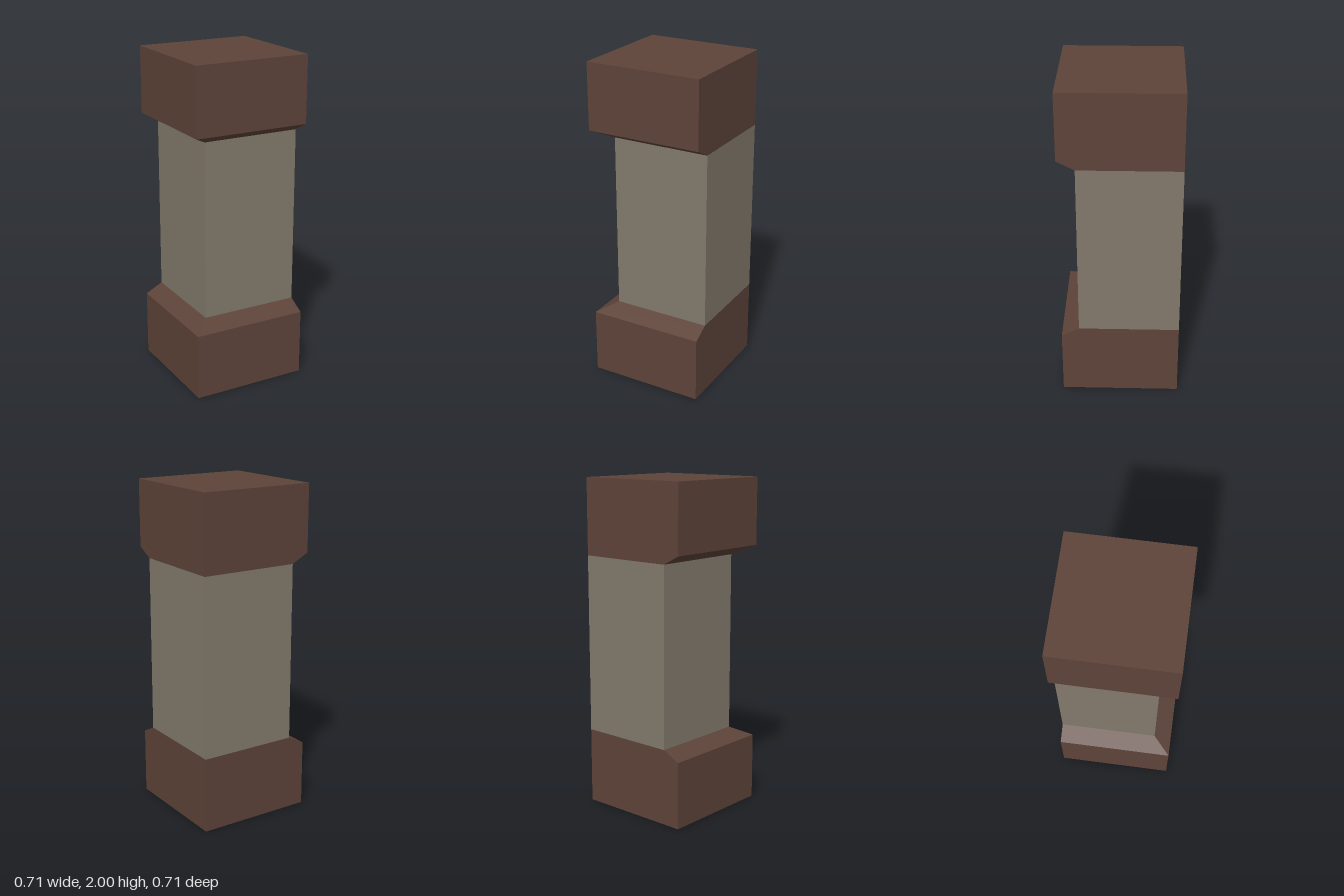
import * as THREE from 'three';

const HALF = 0.356;   // half width of the end blocks
const INSET = 0.25;   // shaft face on the two recessed sides (-x and +z)
const HEIGHT = 2;
const EDGE = 0.405;   // height where the block's slope begins
const NECK = 0.46;    // height where the slope meets the shaft

const brown = new THREE.MeshStandardMaterial({ color: 0x5d4339 });
brown.name = 'dark brown';
const stone = new THREE.MeshStandardMaterial({ color: 0x82796b });
stone.name = 'grey stone';

// End block: straight sides, then a slope to the shaft on the -x and +z sides only
function endBlock(name, flip) {
  const geo = new THREE.BoxGeometry(HALF * 2, 2, HALF * 2, 1, 2, 1).toNonIndexed();
  const pos = geo.attributes.position;
  for (let i = 0; i < pos.count; i++) {
    const level = Math.round(pos.getY(i)) * (flip ? -1 : 1);
    const h = level < 0 ? 0 : level === 0 ? EDGE : NECK;
    pos.setY(i, flip ? HEIGHT - h : h);
    if (level > 0) {
      pos.setX(i, Math.max(pos.getX(i), -INSET));
      pos.setZ(i, Math.min(pos.getZ(i), INSET));
    }
  }
  geo.computeVertexNormals();
  const mesh = new THREE.Mesh(geo, brown);
  mesh.name = name;
  return mesh;
}

export function createModel() {
  const group = new THREE.Group();
  group.name = 'cornerPillar';

  // Shaft, flush with the blocks on +x and -z
  const width = HALF + INSET;
  const shaft = new THREE.Mesh(new THREE.BoxGeometry(width, HEIGHT - NECK * 2, width), stone);
  shaft.name = 'shaft';
  shaft.position.set((HALF - INSET) / 2, HEIGHT / 2, -(HALF - INSET) / 2);

  group.add(endBlock('base', false), shaft, endBlock('capital', true));
  return group;
}
